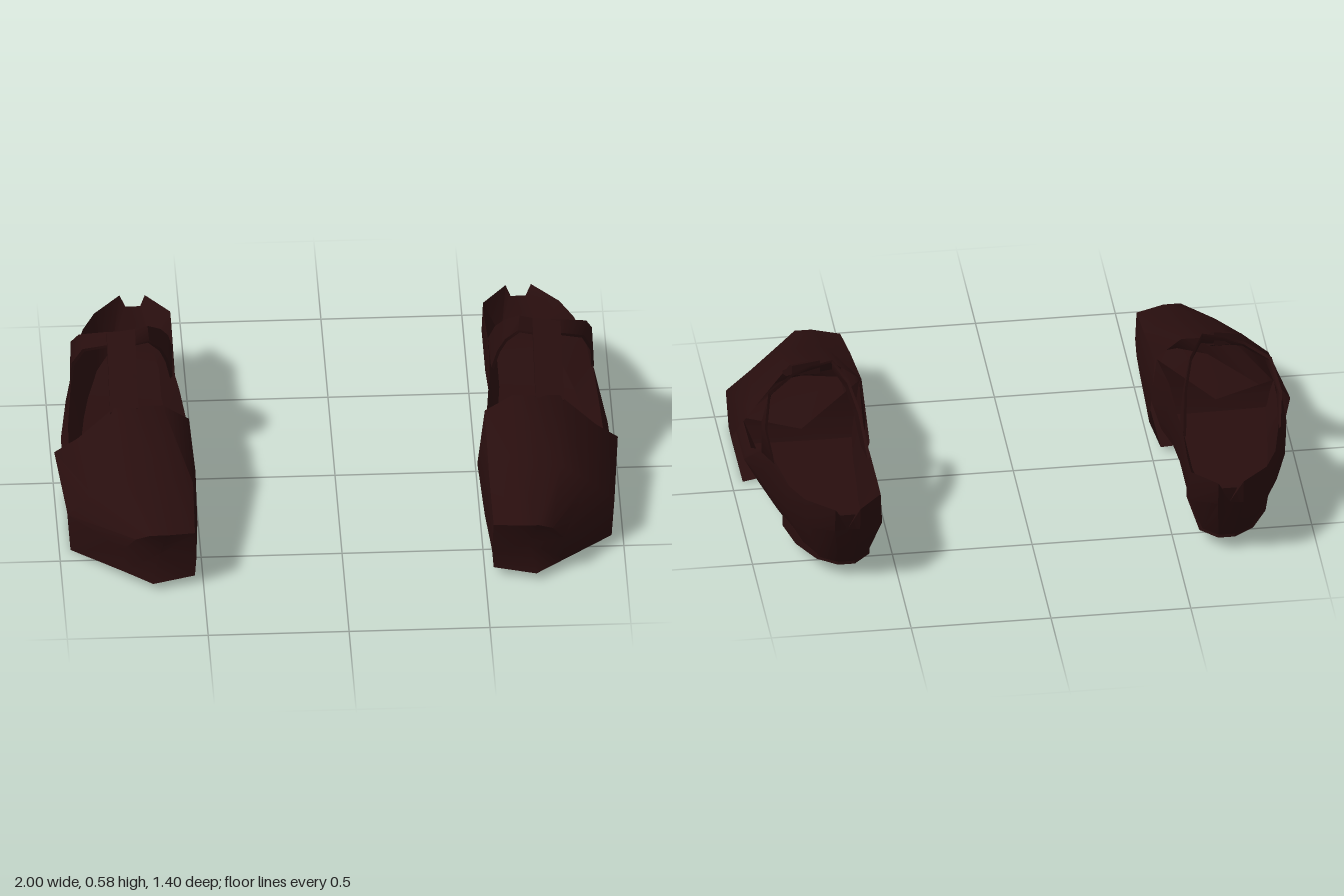
import * as THREE from 'three';
import { toCreasedNormals } from 'three/addons/utils/BufferGeometryUtils.js';

const leather = new THREE.MeshStandardMaterial({ color: 0x280e0e, side: THREE.DoubleSide });
leather.name = 'dark brown leather';

// Skin a row of closed sections; side = -1 mirrors it for the other foot.
function loft(sections, side, capStart, capEnd, crease = 0.85) {
  const rows = sections.map(s => {
    const row = s.map(([x, y, z]) => new THREE.Vector3(x * side, y, z));
    return side < 0 ? row.reverse() : row;
  });
  const pos = [];
  const tri = (...pts) => pts.forEach(p => pos.push(p.x, p.y, p.z));
  const n = rows[0].length;
  for (let i = 0; i < rows.length - 1; i++) {
    for (let j = 0; j < n; j++) {
      const k = (j + 1) % n;
      const a = rows[i][j], b = rows[i][k], c = rows[i + 1][j], d = rows[i + 1][k];
      tri(a, b, c);
      tri(b, d, c);
    }
  }
  const cap = (row, flip) => {
    const mid = row.reduce((m, p) => m.add(p), new THREE.Vector3()).divideScalar(n);
    row.forEach((p, j) => {
      const q = row[(j + 1) % n];
      if (flip) tri(mid, q, p); else tri(mid, p, q);
    });
  };
  if (capStart) cap(rows[0], true);
  if (capEnd) cap(rows[rows.length - 1], false);
  const geo = new THREE.BufferGeometry();
  geo.setAttribute('position', new THREE.Float32BufferAttribute(pos, 3));
  return toCreasedNormals(geo, crease);
}

// Sections are [z, [x, y, optional z shift], ...], from inner bottom over the top to outer bottom.
const place = list => list.map(([z, ...pts]) => pts.map(([x, y, dz = 0]) => [x, y, z + dz]));

const VAMP = place([
  [0.69, [0.53, 0.03, -0.03], [0.525, 0.1, -0.03], [0.53, 0.21, -0.03], [0.63, 0.22, -0.005],
    [0.69, 0.22, -0.005], [0.74, 0.19, -0.03], [0.78, 0.13, -0.06], [0.78, 0.035, -0.06], [0.68, 0.025, 0.01]],
  [0.43, [0.53, 0.025], [0.51, 0.1], [0.525, 0.27], [0.62, 0.31],
    [0.78, 0.305], [0.88, 0.23], [0.97, 0.15], [0.96, 0], [0.77, 0.035]],
  [0.13, [0.535, 0.02, -0.075], [0.5, 0.1, -0.03], [0.525, 0.345], [0.62, 0.412, 0.01],
    [0.79, 0.408, 0.01], [0.92, 0.26, -0.02], [1, 0.178, -0.06], [0.96, 0, -0.075], [0.77, 0.035, -0.075]],
]);

// Foot bed and walls: the outer wall is cut low, the inner wall stays high.
const QUARTER = place([
  [0.14, [0.54, 0.08, -0.06], [0.51, 0.17], [0.532, 0.335], [0.56, 0.12], [0.92, 0.12], [0.95, 0.215], [0.975, 0.17], [0.94, 0.065, -0.06]],
  [-0.05, [0.565, 0.09], [0.54, 0.2], [0.55, 0.35], [0.58, 0.13], [0.9, 0.13], [0.945, 0.205], [0.97, 0.16], [0.92, 0.065]],
  [-0.22, [0.58, 0.085], [0.555, 0.2], [0.56, 0.31], [0.59, 0.13], [0.88, 0.13], [0.925, 0.3], [0.945, 0.2], [0.88, 0.06]],
  [-0.34, [0.585, 0.08], [0.55, 0.2], [0.56, 0.335], [0.6, 0.13], [0.86, 0.13], [0.905, 0.34], [0.925, 0.2], [0.85, 0.06]],
  [-0.5, [0.585, 0.07], [0.55, 0.2], [0.555, 0.317], [0.6, 0.14], [0.82, 0.14], [0.87, 0.317], [0.875, 0.2], [0.81, 0.06]],
  [-0.6, [0.6, 0.065, 0.02], [0.55, 0.2], [0.555, 0.317], [0.62, 0.17], [0.76, 0.17], [0.825, 0.317], [0.82, 0.2], [0.77, 0.06, 0.02]],
  [-0.7, [0.65, 0.06, 0.08], [0.64, 0.23, 0.015], [0.64, 0.323], [0.655, 0.29, 0.02], [0.71, 0.29, 0.02], [0.73, 0.325], [0.73, 0.23, 0.015], [0.71, 0.06, 0.08]],
]);

// Low heel lift, traced as an outline and closed between two heights.
const HEEL = [0.1, 0.048].map(y => [
  [0.575, -0.33], [0.87, -0.33], [0.84, -0.46], [0.78, -0.57], [0.71, -0.62], [0.65, -0.62], [0.59, -0.56],
].map(([x, z]) => [x, y, z]));

// Ankle strap, as back and front edges from the inner to the outer wall.
const ANKLE = [
  [[0.56, 0.325, -0.36], [0.565, 0.295, -0.22]],
  [[0.58, 0.45, -0.25], [0.585, 0.40, -0.17]],
  [[0.61, 0.53, -0.17], [0.61, 0.48, -0.12]],
  [[0.66, 0.585, -0.11], [0.655, 0.54, -0.085]],
  [[0.74, 0.565, -0.11], [0.74, 0.525, -0.08]],
  [[0.81, 0.55, -0.13], [0.81, 0.52, -0.09]],
  [[0.9, 0.51, -0.18], [0.89, 0.48, -0.13]],
  [[0.925, 0.42, -0.27], [0.925, 0.39, -0.18]],
  [[0.908, 0.33, -0.36], [0.93, 0.29, -0.22]],
].map(([back, front]) => {
  const inset = ([x, y, z]) => [0.745 + (x - 0.745) * 0.95, y - 0.01, z];
  return [back, front, inset(front), inset(back)];
});

// Centre strap from the vamp up to the ankle strap.
const CENTRE = [[0.15, 0.38, 0.408], [0.05, 0.43, 0.475], [-0.04, 0.49, 0.548], [-0.1, 0.525, 0.58]]
  .map(([z, low, high]) => [[0.705, low, z], [0.705, high, z], [0.805, high - 0.015, z], [0.805, low, z]]);

function createShoe(side) {
  const shoe = new THREE.Group();
  const add = (name, geo) => {
    const mesh = new THREE.Mesh(geo, leather);
    mesh.name = name;
    shoe.add(mesh);
  };
  add('vamp', loft(VAMP, side, true, false, 1.0));
  add('quarterAndFootBed', loft(QUARTER, side, true, true, 0.9));
  add('heelLift', loft(HEEL, side, true, true, 0.5));
  add('ankleStrap', loft(ANKLE, side, true, true));
  add('centreStrap', loft(CENTRE, side, true, true));
  return shoe;
}

export function createModel() {
  const pair = new THREE.Group();
  pair.name = 'pairOfStrapShoes';
  for (const [name, side] of [['leftShoe', 1], ['rightShoe', -1]]) {
    const shoe = createShoe(side);
    shoe.name = name;
    pair.add(shoe);
  }
  return pair;
}
